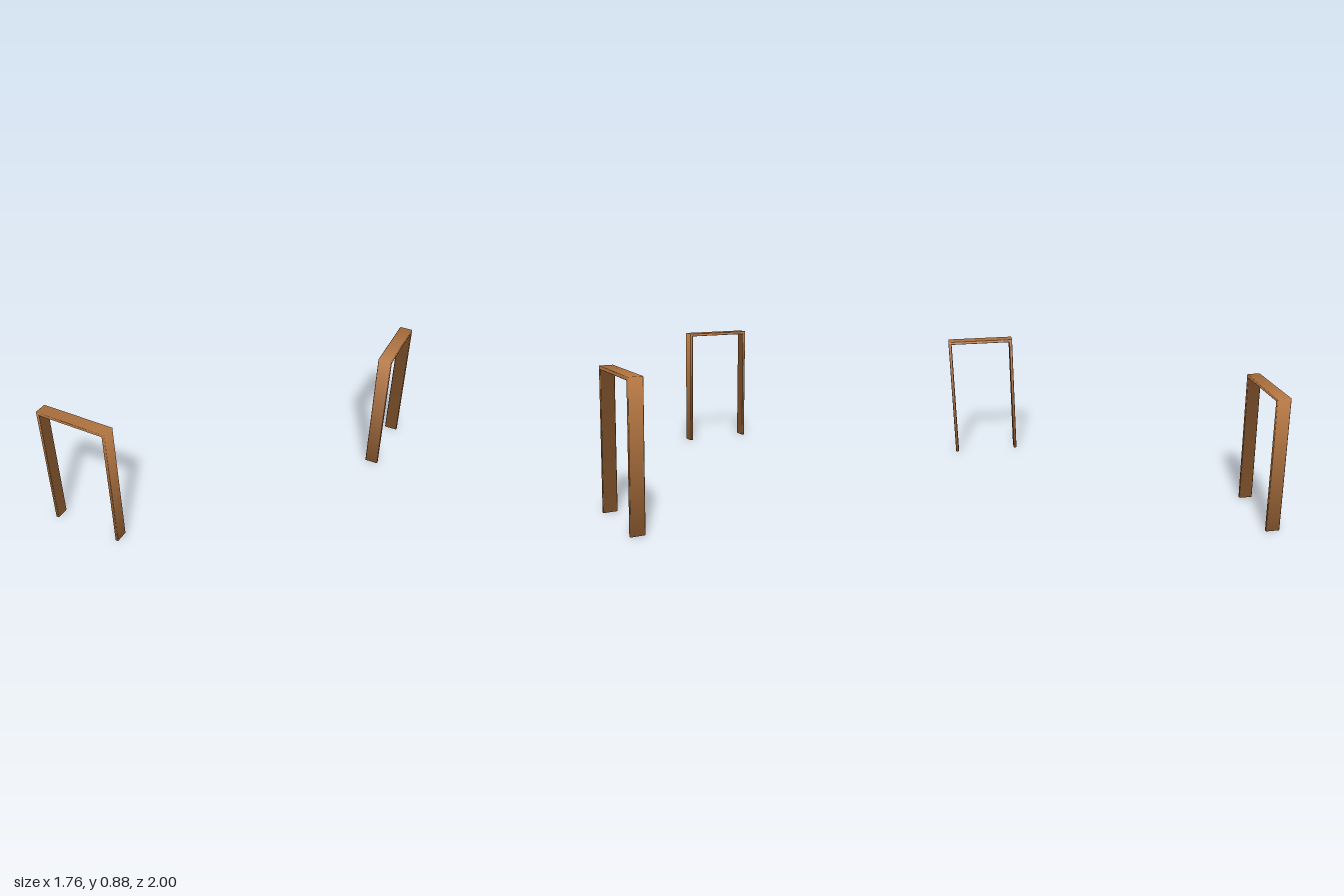
import * as THREE from 'three';

const HEIGHT = 0.885, THICK = 0.022, HALF_DEPTH = 0.045, BEVEL = 0.004;

// Sweeps a chamfered plank section up one post, along the lintel and down the other post.
function frameGeometry(width) {
  const w = width / 2, t = THICK, d = HALF_DEPTH, b = BEVEL;
  // section points: [distance inward from the outer face, z]
  const ring = [[0, d - b], [0, b - d], [b, -d], [t - b, -d],
    [t, b - d], [t, d - b], [t - b, d], [b, d]];
  // stations: outer corner x, y and inward mitre direction
  const stations = [[-w, 0, 1, 0], [-w, HEIGHT, 1, -1], [w, HEIGHT, -1, -1], [w, 0, -1, 0]];
  const n = ring.length, pos = [], nor = [], index = [];

  const addRing = (station, normalOf) => {
    const [x, y, dx, dy] = station;
    for (const [o, z] of ring) {
      pos.push(x + dx * o, y + dy * o, z);
      nor.push(...normalOf(o, z, dx, dy).normalize().toArray());
    }
  };

  // soft normals that lean over the corners and feet
  for (const s of stations) {
    addRing(s, (o, z, dx, dy) => {
      const side = o === 0 ? -1 : o === t ? 1 : 0;
      const v = new THREE.Vector3(dx * side, dy * side, side ? 0 : Math.sign(z));
      if (dy === 0) v.y -= 0.7;
      else if (side < 0) v.x *= 0.5;
      else if (side === 0) v.y += 0.3;
      return v;
    });
  }
  for (let s = 0; s < 3; s++) {
    for (let i = 0; i < n; i++) {
      const j = (i + 1) % n, a = s * n, c = a + n;
      index.push(a + i, c + i, a + j, c + i, c + j, a + j);
    }
  }

  // flat undersides of the two posts
  [stations[0], stations[3]].forEach((s, k) => {
    const start = pos.length / 3;
    addRing(s, () => new THREE.Vector3(0, -1, 0));
    for (let i = 1; i < n - 1; i++) {
      if (k === 0) index.push(start, start + i, start + i + 1);
      else index.push(start, start + i + 1, start + i);
    }
  });

  const geo = new THREE.BufferGeometry();
  geo.setAttribute('position', new THREE.Float32BufferAttribute(pos, 3));
  geo.setAttribute('normal', new THREE.Float32BufferAttribute(nor, 3));
  geo.setIndex(index);
  return geo;
}

export function createModel() {
  const group = new THREE.Group();
  group.name = 'doorFrames';
  const wood = new THREE.MeshStandardMaterial({ color: 0xb0733f });
  wood.name = 'brownWood';

  // door frame facing the front
  const front = new THREE.Mesh(frameGeometry(0.506), wood);
  front.name = 'frontDoorFrame';
  front.position.set(-0.627, 0, 0.955);

  // door frame facing sideways at the back
  const side = new THREE.Mesh(frameGeometry(0.475), wood);
  side.name = 'sideDoorFrame';
  side.rotation.y = Math.PI / 2;
  side.position.set(0.835, 0, -0.7625);

  group.add(front, side);
  return group;
}
